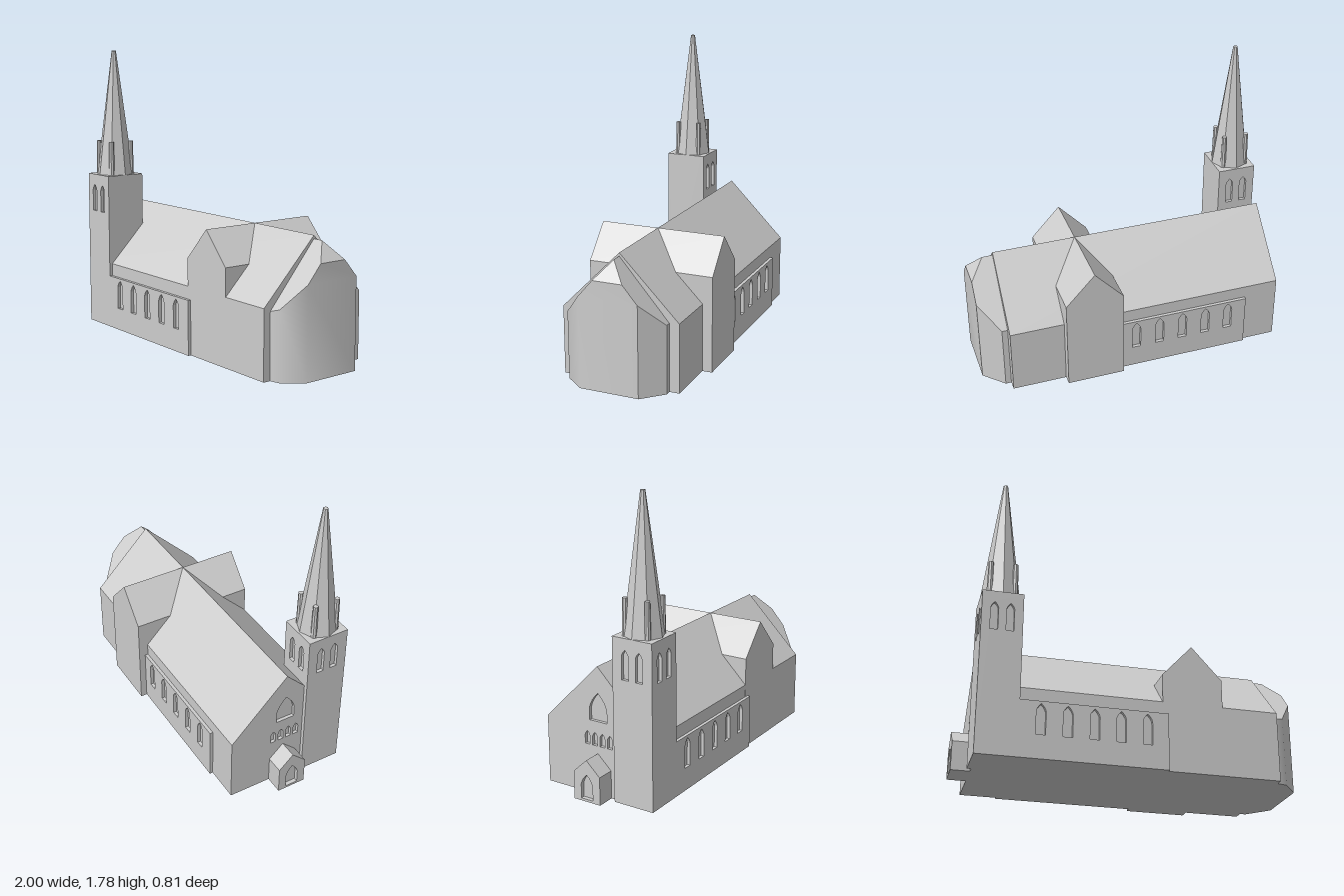
import * as THREE from 'three';
import { toCreasedNormals } from 'three/addons/utils/BufferGeometryUtils.js';
import { ConvexGeometry } from 'three/addons/geometries/ConvexGeometry.js';

const stone = new THREE.MeshStandardMaterial({ color: 0xcccccc });
stone.name = 'stone';

const RIDGE_Z = 0.0175;

// Pointed window or door outline centred on u
function lancet(u, w, y0, y1) {
  const h = w / 2, spring = y1 - w * 0.8, p = new THREE.Path();
  p.moveTo(u - h, y0);
  p.lineTo(u + h, y0);
  p.lineTo(u + h, spring);
  p.quadraticCurveTo(u + h * 0.8, spring + (y1 - spring) * 0.55, u, y1);
  p.quadraticCurveTo(u - h * 0.8, spring + (y1 - spring) * 0.55, u - h, spring);
  p.closePath();
  return p;
}

function outline(points, holes = []) {
  const s = new THREE.Shape(points.map(([u, y]) => new THREE.Vector2(u, y)));
  s.holes.push(...holes);
  return s;
}

const gable = (u0, u1, eave, ridge, holes) =>
  outline([[u0, 0], [u1, 0], [u1, eave], [(u0 + u1) / 2, ridge], [u0, eave]], holes);
const rect = (u0, u1, y1, holes) => outline([[u0, 0], [u1, 0], [u1, y1], [u0, y1]], holes);

export function createModel() {
  const church = new THREE.Group();
  church.name = 'church';

  function add(name, geometry, x = 0, y = 0, z = 0) {
    const mesh = new THREE.Mesh(geometry, stone);
    mesh.name = name;
    mesh.position.set(x, y, z);
    church.add(mesh);
    return mesh;
  }
  const extrude = (shape, depth) =>
    new THREE.ExtrudeGeometry(shape, { depth, bevelEnabled: false, curveSegments: 4 });
  // Outline in (x, y), extruded from z0 to z1
  const alongZ = (name, shape, z0, z1) => add(name, extrude(shape, z1 - z0), 0, 0, z0);
  // Outline in (z, y), extruded from x0 to x1
  const alongX = (name, shape, x0, x1) =>
    add(name, extrude(shape, x1 - x0).rotateY(-Math.PI / 2), x1, 0, 0);

  // Nave with a pierced west wall
  const naveZ = [-0.345, 0.38];
  alongX('nave', gable(...naveZ, 0.415, 0.78), -0.87, 0.845);
  const westWindows = [lancet(RIDGE_Z, 0.12, 0.45, 0.62)];
  for (const i of [-1.5, -0.5, 0.5, 1.5]) {
    westWindows.push(lancet(RIDGE_Z + i * 0.052, 0.034, 0.3, 0.38));
  }
  alongX('westWall', gable(...naveZ, 0.415, 0.78, westWindows), -0.89, -0.87);

  // Transept crossing the nave
  alongZ('transept', gable(0.15, 0.51, 0.585, 0.78), -0.405, 0.381);

  // Aisle walls with five windows on each side
  const aisleWindows = () =>
    [-0.555, -0.403, -0.25, -0.098, 0.055].map(x => lancet(x, 0.055, 0.14, 0.322));
  alongZ('frontAisleWall', rect(-0.675, 0.178, 0.337, aisleWindows()), 0.38, 0.4);
  alongZ('backAisleWall', rect(-0.675, 0.152, 0.337, aisleWindows()), -0.365, -0.345);

  // Porch with a recessed door
  alongX('porch', gable(-0.08, 0.1, 0.17, 0.255), -0.975, -0.88);
  alongX('porchFront', gable(-0.08, 0.1, 0.17, 0.255, [lancet(0.01, 0.08, 0.015, 0.165)]), -1, -0.975);

  // Apse: corner points under a gabled roof with a hipped end
  const roofY = (x, z) =>
    Math.min(0.76 - Math.abs(z - RIDGE_Z) * 1.155, 0.76 - (x - 0.91) * 1.17);
  const plan = [[0.845, -0.285], [0.88, -0.285], [1, -0.165], [1, RIDGE_Z - 0.0912],
    [1, RIDGE_Z + 0.0912], [1, 0.2], [0.905, 0.32], [0.845, 0.335]];
  const apsePoints = [0.845, 0.91].map(x => new THREE.Vector3(x, 0.76, RIDGE_Z));
  for (const [x, z] of plan) {
    apsePoints.push(new THREE.Vector3(x, 0, z), new THREE.Vector3(x, roofY(x, z), z));
  }
  add('apse', toCreasedNormals(new ConvexGeometry(apsePoints), 0.68));

  // Tower core with pierced outer walls
  const towerTop = 0.985, tx = -0.795, tz = 0.27;
  const belfry = c => [-0.046, 0.046].map(d => lancet(c + d, 0.045, 0.745, 0.917));
  alongZ('towerCore', rect(-0.895, -0.675, towerTop), 0.16, 0.38);
  alongZ('towerFrontWall', rect(-0.915, -0.675, towerTop, belfry(tx)), 0.38, 0.4);
  alongZ('towerBackWall', rect(-0.915, -0.675, towerTop, belfry(tx)), 0.14, 0.16);
  alongX('towerWestWall', rect(0.16, 0.38, towerTop, belfry(tz)), -0.915, -0.895);

  // Octagonal spire and four corner pinnacles
  const facetedCone = (rTop, rBase, h) => {
    const g = new THREE.CylinderGeometry(rTop, rBase, h, 8).translate(0, h / 2, 0).toNonIndexed();
    g.computeVertexNormals();
    return g;
  };
  add('spire', facetedCone(0.014, 0.119, 0.795), tx, towerTop, tz);
  for (const sx of [-1, 1]) {
    for (const sz of [-1, 1]) {
      add('pinnacle', facetedCone(0.015, 0.019, 0.215), tx + sx * 0.073, towerTop, tz + sz * 0.073);
    }
  }
  return church;
}
